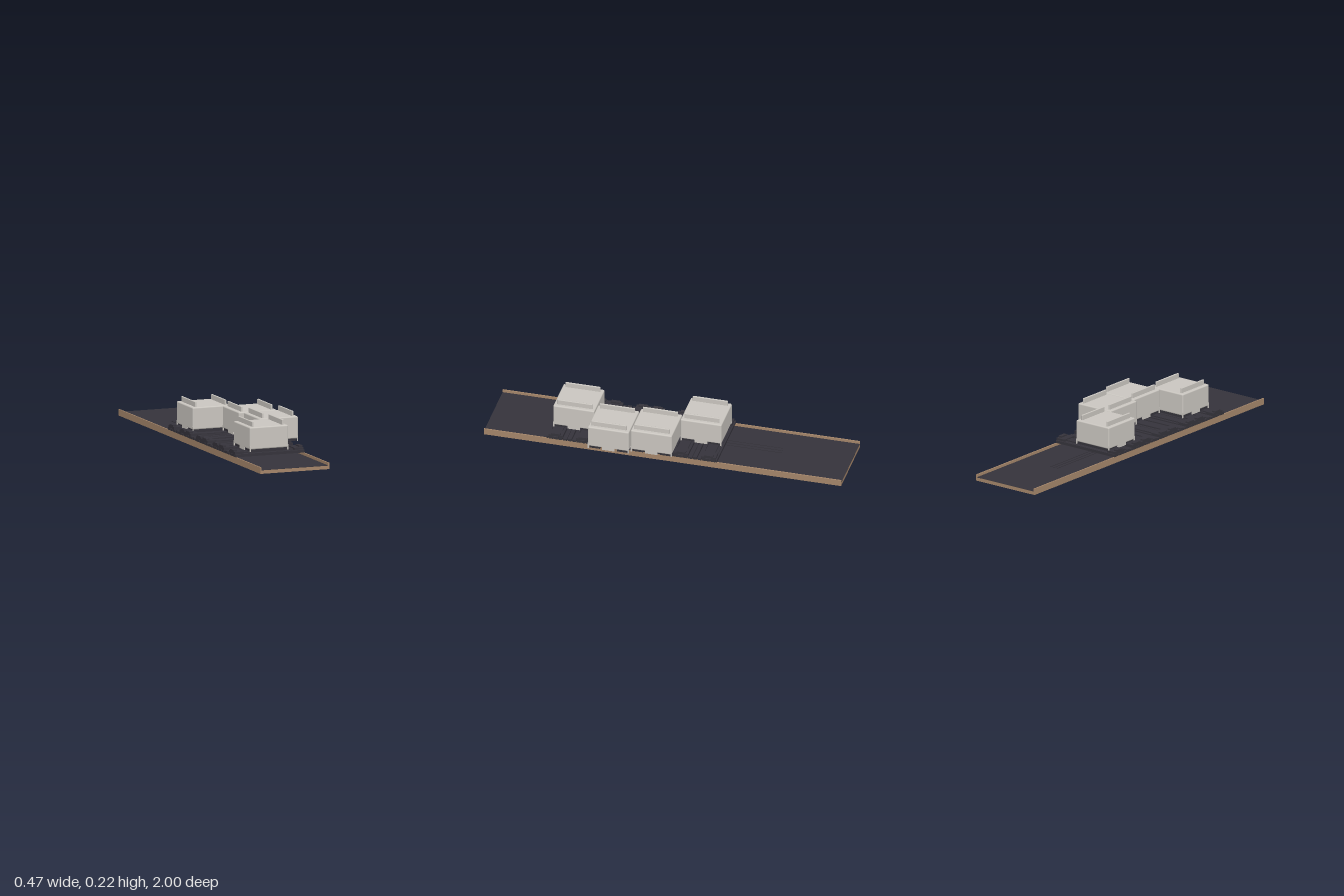
import * as THREE from 'three';
import { RoundedBoxGeometry } from 'three/addons/geometries/RoundedBoxGeometry.js';

const mat = (name, color) => {
  const m = new THREE.MeshStandardMaterial({ color });
  m.name = name;
  return m;
};

export function createModel() {
  const wood = mat('tan tray', 0xa5866a);
  const dark = mat('dark metal', 0x35333b);
  const shell = mat('pale shell', 0xcac6c0);
  const model = new THREE.Group();
  model.name = 'slidingBlockTray';

  // Box given by its limits on each axis
  const box = (parent, name, material, x0, x1, y0, y1, z0, z1, radius = 0) => {
    const size = [x1 - x0, y1 - y0, z1 - z0];
    const geo = radius ? new RoundedBoxGeometry(...size, 3, radius) : new THREE.BoxGeometry(...size);
    const mesh = new THREE.Mesh(geo, material);
    mesh.name = name;
    mesh.position.set((x0 + x1) / 2, (y0 + y1) / 2, (z0 + z1) / 2);
    parent.add(mesh);
    return mesh;
  };

  // Long open-ended tray with a dark floor lining
  const L = -0.237, R = 0.167, wall = 0.007;
  const tray = new THREE.Group();
  tray.name = 'tray';
  model.add(tray);
  box(tray, 'trayFloor', wood, L, R, 0, 0.019, -1, 1);
  box(tray, 'floorLining', dark, L + wall, R - wall, 0.019, 0.0205, -1, 1);
  box(tray, 'leftWall', wood, R - wall, R, 0.019, 0.035, -1, 1);
  box(tray, 'rightWall', wood, L, L + wall, 0.019, 0.035, -1, 1);

  // Flat guide strips on the floor
  for (const x of [-0.085, -0.062, -0.039])
    box(tray, 'guideStrip', dark, x - 0.005, x + 0.005, 0.0205, 0.0235, -0.61, -0.25);

  // Each station: cross slats, end clips and the block that slides on them
  const stations = [
    { x: -0.0785, z: -0.18 },
    { x: 0.0945, z: 0.053 },
    { x: 0.1205, z: 0.287 },
    { x: -0.0345, z: 0.521 },
  ];
  for (const { x, z } of stations) {
    const bed = new THREE.Group();
    bed.name = 'slatBed';
    bed.position.z = z;
    model.add(bed);
    // Thin slats with narrow gaps
    for (let i = 0; i < 9; i++) {
      const c = (i - 4) * 0.026;
      box(bed, 'slat', dark, L, R, 0.035, i % 2 ? 0.046 : 0.05, c - 0.011, c + 0.011);
    }
    // Under-slat hanger bar and its posts
    box(bed, 'hangerBar', dark, -0.085, 0.153, 0.0235, 0.027, -0.01, 0.01);
    for (const px of [-0.078, -0.035, 0.098, 0.12])
      box(bed, 'hangerPost', dark, px - 0.004, px + 0.004, 0.025, 0.036, -0.01, 0.01);
    for (const s of [-1, 1]) {
      // Raised rail pair across the tray
      const c = s * 0.077;
      box(bed, 'crossRail', dark, L, R, 0.048, 0.056, c - 0.022, c + 0.022);
      // Stepped clips at both rail ends
      box(bed, 'endClip', dark, L, L + 0.055, 0.05, 0.062, c - 0.04, c + 0.04);
      box(bed, 'endClipTop', dark, L, L + 0.02, 0.06, 0.07, c - 0.025, c + 0.025);
      box(bed, 'endClip', dark, R - 0.055, R, 0.05, 0.062, c - 0.04, c + 0.04);
      box(bed, 'endClipTop', dark, R - 0.02, R, 0.06, 0.07, c - 0.025, c + 0.025);
      box(bed, 'endStop', dark, R, R + 0.008, 0.042, 0.055, c - 0.015, c + 0.015);
    }

    const block = new THREE.Group();
    block.name = 'slidingBlock';
    block.position.set(x, 0, z);
    model.add(block);
    const w = 0.1125, d = 0.115;
    box(block, 'blockBody', shell, -w, w, 0.068, 0.19, -d, d, 0.007);
    for (const s of [-1, 1]) {
      // Skirt pieces beside the notches for the rails
      const xo = s * (w - 0.0025);
      for (const [z0, z1] of [[-d, -0.108], [-0.035, 0.035], [0.108, d]])
        box(block, 'sideSkirt', shell, xo - 0.0025, xo + 0.0025, 0.055, 0.085, z0, z1);
      // Carriage shoes between block and rails
      box(block, 'carriageShoe', dark, -w + 0.006, w - 0.006, 0.055, 0.07, s * 0.077 - 0.03, s * 0.077 + 0.03);
      // Upright grip on top
      const gx = s * 0.0875;
      box(block, 'topGrip', shell, gx - 0.005, gx + 0.005, 0.185, 0.218, -0.098, 0.098, 0.003);
    }
  }

  // Closing bars at both ends of the slat bed
  box(model, 'bedEndBar', dark, L, R, 0.035, 0.05, -0.305, -0.296);
  box(model, 'bedEndBar', dark, L, R, 0.035, 0.05, 0.638, 0.65);
  return model;
}
